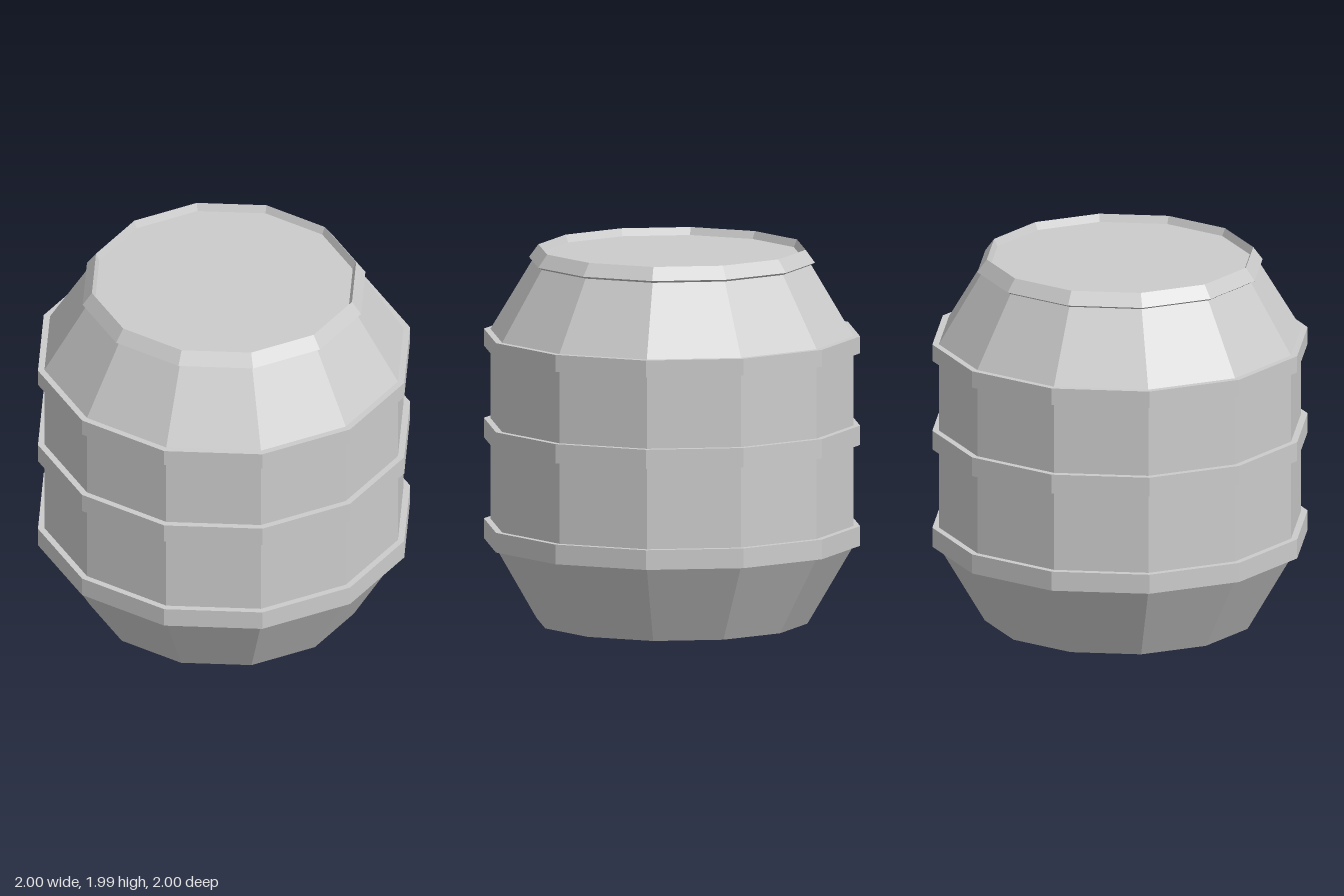
import * as THREE from 'three';

const SIDES = 12;

export function createModel() {
  const barrel = new THREE.Group();
  barrel.name = 'barrel';
  const material = new THREE.MeshStandardMaterial({ color: 0xcccccc, flatShading: true });

  // Turns a [radius, height] profile, listed upwards on the outside, into a faceted mesh
  const turn = (name, profile) => {
    const points = profile.map(([r, y]) => new THREE.Vector2(r, y));
    const mesh = new THREE.Mesh(new THREE.LatheGeometry(points, SIDES), material);
    mesh.name = name;
    barrel.add(mesh);
  };

  // Staved body: tapered foot, straight middle, tapered shoulder
  turn('body', [[0, 0], [0.72, 0], [0.965, 0.42], [0.965, 1.535], [0.74, 1.91]]);

  // Three hoops standing proud of the body
  const hoops = [['lowerHoop', 0.42, 0.525], ['middleHoop', 0.957, 1.06], ['upperHoop', 1.445, 1.535]];
  for (const [name, y0, y1] of hoops) {
    turn(name, [[0.96, y0], [1, y0], [1, y1], [0.96, y1]]);
  }

  // Bevelled rim with a sharp top edge, sloping inwards to the lid
  turn('rim', [[0.735, 1.908], [0.76, 1.922], [0.71, 1.99], [0.692, 1.95]]);

  // Sunken flat lid
  turn('lid', [[0.692, 1.95], [0, 1.95]]);

  return barrel;
}
